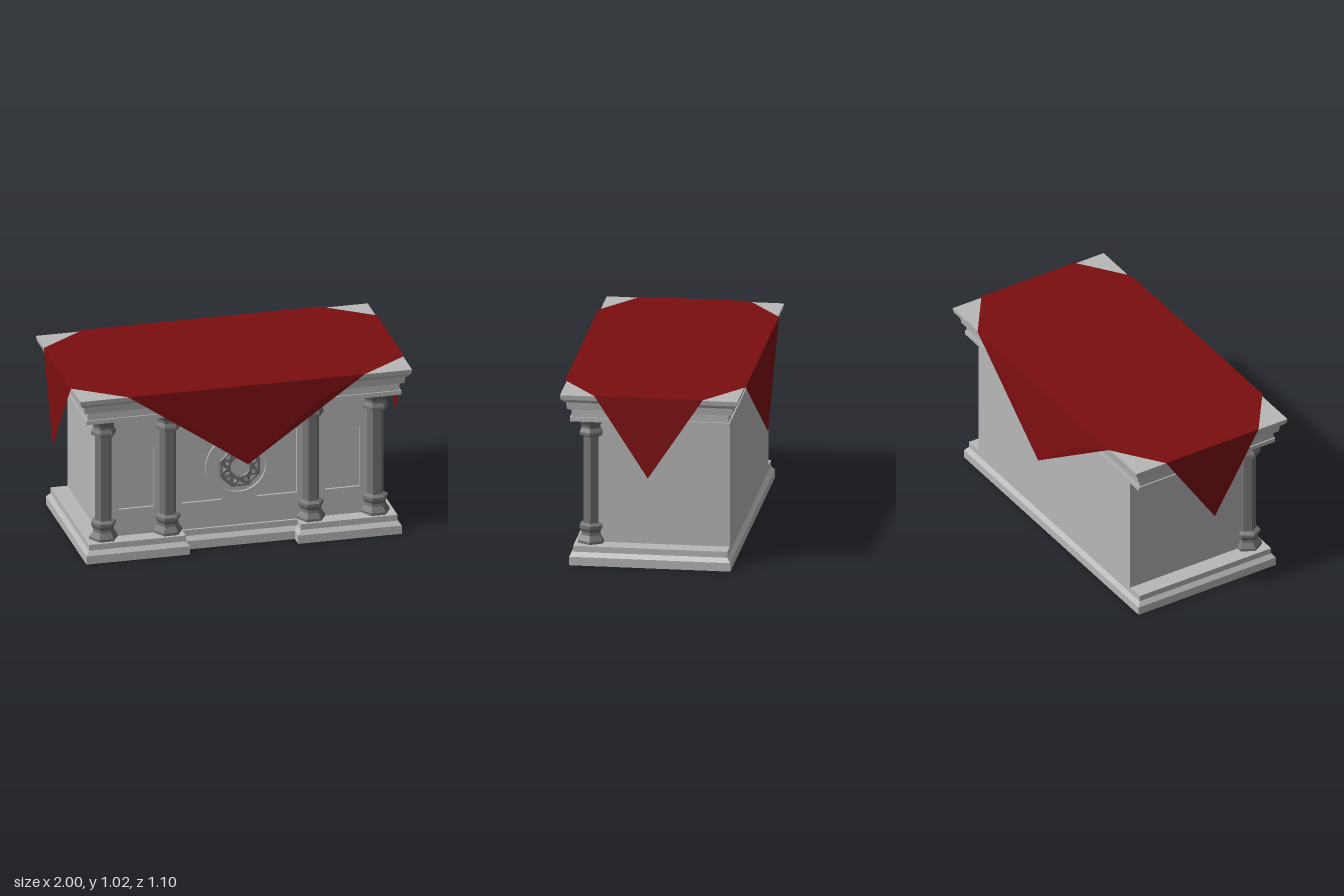
import * as THREE from 'three';

const material = (name, color, side = THREE.FrontSide) => {
  const m = new THREE.MeshStandardMaterial({ color, side, flatShading: true });
  m.name = name;
  return m;
};

const rect = (hx, hz, y) => [[-hx, y, hz], [hx, y, hz], [hx, y, -hz], [-hx, y, -hz]];

function fromTriangles(triangles) {
  const g = new THREE.BufferGeometry();
  g.setAttribute('position', new THREE.Float32BufferAttribute(triangles.flat(2), 3));
  g.computeVertexNormals();
  return g;
}

// Skin a stack of matching loops, with optional polygon caps
function loft(loops, closed = true, caps = false) {
  const tris = [];
  for (let k = 0; k + 1 < loops.length; k++) {
    const a = loops[k], b = loops[k + 1], n = a.length;
    for (let i = 0; i < (closed ? n : n - 1); i++) {
      const j = (i + 1) % n;
      tris.push([a[i], a[j], b[j]], [a[i], b[j], b[i]]);
    }
  }
  if (caps) {
    tris.push(...fan(loops[0]).map((t) => [...t].reverse()), ...fan(loops[loops.length - 1]));
  }
  return fromTriangles(tris);
}

function fan(p) {
  return p.slice(2).map((_, i) => [p[0], p[i + 1], p[i + 2]]);
}

const vec2 = (pts) => pts.map(([x, y]) => new THREE.Vector2(x, y));

const arc = (cx, cy, r, from, to, n) =>
  Array.from({ length: n + 1 }, (_, i) => {
    const a = from + ((to - from) * i) / n;
    return [cx + r * Math.cos(a), cy + r * Math.sin(a)];
  });

export function createModel() {
  const model = new THREE.Group();
  model.name = 'altarTable';
  const stone = material('paleStone', 0xb8b8b8, THREE.DoubleSide);
  const darkStone = material('darkStone', 0x737373);
  const red = material('redCloth', 0x7b0e10, THREE.DoubleSide);

  const add = (name, geometry, mat, parent = model) => {
    const mesh = new THREE.Mesh(geometry, mat);
    mesh.name = name;
    parent.add(mesh);
    return mesh;
  };

  // Hollow plinth, stepped back in the middle of the front
  const plinthLoop = (d, y) => {
    const x = 0.9 + d, z = 0.44 + d, nx = 0.335 - d, nz = 0.365 + d;
    return [[-x, y, z], [-nx, y, z], [-nx, y, nz], [nx, y, nz], [nx, y, z], [x, y, z], [x, y, -z], [-x, y, -z]];
  };
  add('plinth', loft([[0.02, 0], [0.02, 0.05], [0, 0.075], [0, 0.11]].map(([d, y]) => plinthLoop(d, y))), stone);
  const ledge = new THREE.Shape(vec2(plinthLoop(0, 0).map(([x, , z]) => [x, -z])));
  ledge.holes.push(new THREE.Path(vec2([[-0.8, -0.35], [0.8, -0.35], [0.8, 0.439], [-0.8, 0.439]])));
  add('plinthLedge', new THREE.ShapeGeometry(ledge).rotateX(-Math.PI / 2).translate(0, 0.11, 0), stone);

  // Side and back walls
  const wallLine = (y) => [[0.8, y, 0.35], [0.8, y, -0.44], [-0.8, y, -0.44], [-0.8, y, 0.35]];
  add('sideAndBackWalls', loft([wallLine(0.11), wallLine(0.85)], false), stone);

  // Front wall with sunk panels
  const front = 0.35, sunk = 0.335, cy = 0.465;
  const pointed = [[0.5, 0.27], [0.705, 0.27], [0.705, 0.635], [0.603, 0.73], [0.5, 0.635]];
  const half = [[0.1, 0.27], [0.335, 0.27], [0.335, 0.66], [0.1, 0.66], ...arc(0, cy, 0.198, 0.96, -0.96, 12)];
  const mirror = (pts) => pts.map(([x, y]) => [-x, y]).reverse();
  const disc = arc(0, cy, 0.157, 0, Math.PI * 2, 24).slice(0, -1);
  const panels = {
    leftPointedPanel: pointed, rightPointedPanel: mirror(pointed),
    leftCentrePanel: half, rightCentrePanel: mirror(half), roundPanel: disc,
  };
  const wall = new THREE.Shape(vec2([[-0.8, 0.11], [0.8, 0.11], [0.8, 0.85], [-0.8, 0.85]]));
  for (const [name, pts] of Object.entries(panels)) {
    wall.holes.push(new THREE.Path(vec2(pts)));
    add(name, new THREE.ShapeGeometry(new THREE.Shape(vec2(pts))).translate(0, 0, sunk), stone);
    const at = (z) => pts.map(([x, y]) => [x, y, z]);
    add(name + 'Rim', loft([at(front), at(sunk)]), stone);
  }
  add('frontWall', new THREE.ShapeGeometry(wall).translate(0, 0, front), stone);

  // Octagonal pierced rosette
  const eighth = Math.PI / 4;
  const rosette = new THREE.Shape(vec2(arc(0, 0, 0.126, eighth / 2, eighth / 2 + Math.PI * 2, 8).slice(0, -1)));
  rosette.holes.push(new THREE.Path(vec2(arc(0, 0, 0.056, 0, Math.PI * 2, 16).slice(0, -1))));
  const polar = (r, a) => [r * Math.cos(a), r * Math.sin(a)];
  for (let i = 0; i < 8; i++) {
    const a = i * eighth, b = a + eighth / 2;
    rosette.holes.push(new THREE.Path(vec2([polar(0.083, a), polar(0.104, a + 0.2), polar(0.104, a - 0.2)])));
    rosette.holes.push(new THREE.Path(vec2([polar(0.07, b), polar(0.082, b + 0.12), polar(0.097, b), polar(0.082, b - 0.12)])));
  }
  add('rosette', new THREE.ExtrudeGeometry(rosette, {
    depth: 0.02, bevelEnabled: true, bevelSize: 0.004, bevelOffset: -0.004, bevelThickness: 0.006, bevelSegments: 1,
  }).translate(0, cy, sunk + 0.007), darkStone);

  // Six-sided columns, foot mirrored as capital
  const foot = [[0.083, 0.11], [0.083, 0.125], [0.062, 0.155], [0.06, 0.172], [0.073, 0.195], [0.073, 0.213], [0.048, 0.225]];
  const profile = [[0, 0.11], ...foot, ...foot.map(([r, y]) => [r, 0.96 - y]).reverse(), [0, 0.85]];
  const column = new THREE.LatheGeometry(vec2(profile), 6, Math.PI / 2);
  for (const x of [-0.793, -0.417, 0.417, 0.793]) {
    add('column', column, darkStone).position.set(x, 0, 0.35);
  }

  // Moulded cornice and table top
  const cornice = [
    [0.456, 0.85], [0.456, 0.875], [0.448, 0.875], [0.448, 0.925], [0.47, 0.925],
    [0.476, 0.968], [0.484, 0.97], [0.502, 0.99], [0.506, 1.017],
  ];
  add('cornice', loft(cornice.map(([z, y]) => rect(z + 0.462, z, y)), true, true), stone);

  // Cloth: flat top with four hanging points
  const cloth = new THREE.Group();
  cloth.name = 'cloth';
  model.add(cloth);
  const y = 1.022, ex = 0.972, ez = 0.515, cx = 0.69, cz = 0.31;
  add('clothTop', fromTriangles(fan([
    [-cx, y, ez], [cx, y, ez], [ex, y, cz], [ex, y, -cz],
    [cx, y, -ez], [-cx, y, -ez], [-ex, y, -cz], [-ex, y, cz],
  ])), red, cloth);
  for (const turn of [0, Math.PI]) {
    const longDrop = fan([[0, 0.555, 0.548], [0.41, 0.89, 0.531], [cx, y, ez], [-cx, y, ez], [-0.41, 0.89, 0.531]]);
    add('longSideDrop', fromTriangles(longDrop), red, cloth).rotation.y = turn;
    const endDrop = [[[ex, y, cz], [1, 0.555, 0], [ex, y, -cz]]];
    add('endDrop', fromTriangles(endDrop), red, cloth).rotation.y = turn;
  }
  return model;
}
